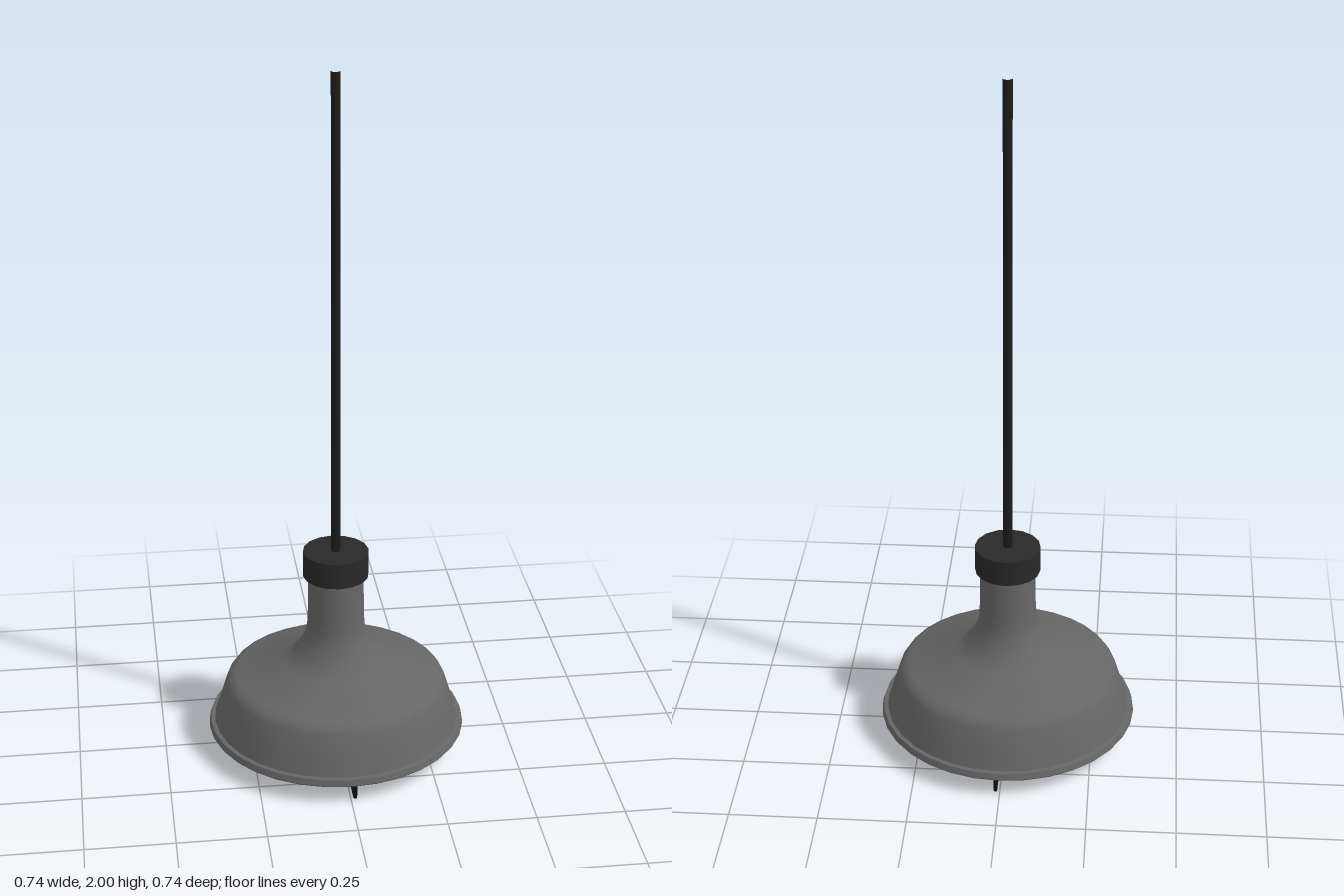
import * as THREE from 'three';
import { toCreasedNormals } from 'three/addons/utils/BufferGeometryUtils.js';

export function createModel() {
  const model = new THREE.Group();
  model.name = 'pendantLamp';

  const material = (name, color) => {
    const made = new THREE.MeshStandardMaterial({ color });
    made.name = name;
    return made;
  };
  const shadeGrey = material('shade grey', 0x666666);
  const diffuserGrey = material('diffuser pale grey', 0xc8c8c8);
  const fittingBlack = material('fitting charcoal', 0x292929);
  const cordBlack = material('cord black', 0x1c1c1c);
  const wireBlack = material('wire black', 0x0d0d0d);

  const add = (name, geometry, mat) => {
    const mesh = new THREE.Mesh(geometry, mat);
    mesh.name = name;
    model.add(mesh);
    return mesh;
  };
  const lathe = (points, crease) => toCreasedNormals(
    new THREE.LatheGeometry(points.map(([r, y]) => new THREE.Vector2(r, y)), 32), crease);

  // Bell-shaped shade with its narrow neck
  add('shade', lathe([
    [0.355, 0.074], [0.335, 0.137], [0.318, 0.192], [0.308, 0.208], [0.288, 0.22],
    [0.148, 0.264], [0.115, 0.297], [0.09, 0.342], [0.083, 0.372], [0.081, 0.414], [0.079, 0.54],
  ], 0.9), shadeGrey);

  // Rolled lip around the opening
  add('rim', lathe([[0.368, 0.056], [0.371, 0.06], [0.366, 0.077], [0.354, 0.078]], 0.6), shadeGrey);

  // Pale disc closing the underside
  const diffuser = add('diffuser', new THREE.CircleGeometry(0.368, 32), diffuserGrey);
  diffuser.rotation.x = Math.PI / 2;
  diffuser.position.y = 0.056;

  // Socket cap on top of the neck
  const cap = add('socketCap', new THREE.CylinderGeometry(0.094, 0.094, 0.076, 16), fittingBlack);
  cap.position.set(0, 0.57, -0.003);

  // Hanging cord, an open tube
  const cord = add('cord', new THREE.CylinderGeometry(0.013, 0.013, 1.4, 8, 1, true), cordBlack);
  cord.position.set(0, 1.3, -0.003);

  // Two crossed guard wires, each a shallow U with rounded corners
  const v = (x, y) => new THREE.Vector3(x, y, 0);
  const reach = 0.352, low = 0.003, bend = 0.016;
  const path = new THREE.CurvePath();
  path.add(new THREE.LineCurve3(v(-reach, 0.066), v(-reach, low + bend)));
  path.add(new THREE.QuadraticBezierCurve3(v(-reach, low + bend), v(-reach, low), v(-reach + bend, low)));
  path.add(new THREE.LineCurve3(v(-reach + bend, low), v(reach - bend, low)));
  path.add(new THREE.QuadraticBezierCurve3(v(reach - bend, low), v(reach, low), v(reach, low + bend)));
  path.add(new THREE.LineCurve3(v(reach, low + bend), v(reach, 0.066)));
  const wire = new THREE.TubeGeometry(path, 120, 0.003, 6).scale(1, 1, 1.6);
  for (const [name, turn] of [['guardWireAcross', 0], ['guardWireFrontToBack', Math.PI / 2]]) {
    const mesh = add(name, wire, wireBlack);
    mesh.rotation.y = turn;
    mesh.position.x = 0.012;
  }
  return model;
}
